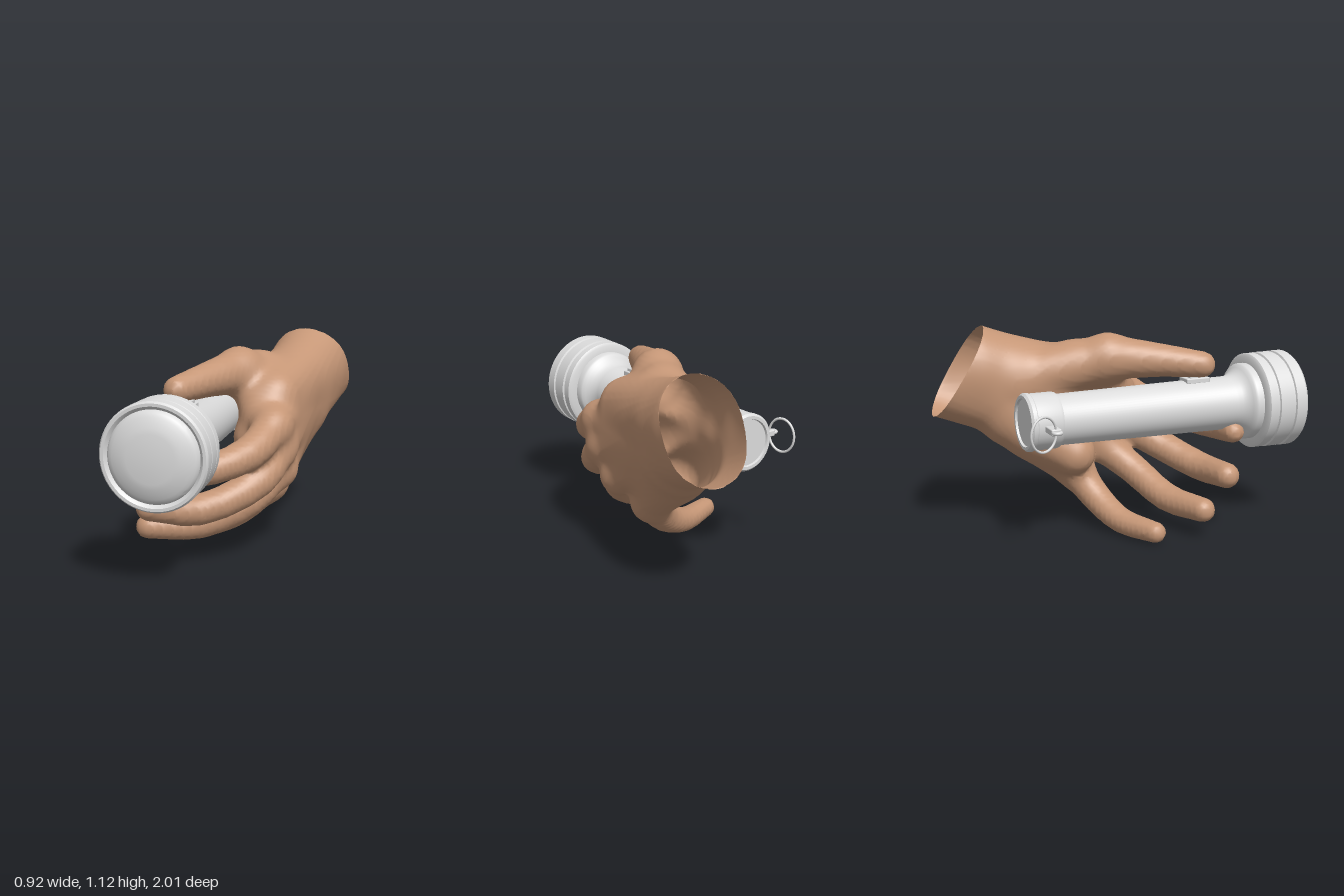
import * as THREE from 'three';
import { toCreasedNormals } from 'three/addons/utils/BufferGeometryUtils.js';
import { RoundedBoxGeometry } from 'three/addons/geometries/RoundedBoxGeometry.js';

const metal = new THREE.MeshStandardMaterial({ name: 'light grey metal', color: 0xdcdcdc });
const skin = new THREE.MeshStandardMaterial({ name: 'skin', color: 0xc69777, side: THREE.DoubleSide });

function part(name, geometry, material, x = 0, y = 0, z = 0) {
  const mesh = new THREE.Mesh(geometry, material);
  mesh.name = name;
  mesh.position.set(x, y, z);
  return mesh;
}

// Turned part around the z axis; the profile lists [radius, z] from back to front
function turned(name, profile) {
  const points = profile.map(([r, z]) => new THREE.Vector2(r, z));
  const geometry = new THREE.LatheGeometry(points, 64).rotateX(Math.PI / 2);
  return part(name, toCreasedNormals(geometry, 0.6), metal);
}

// ---- Torch: z = 0 is the front rim ----
function createTorch() {
  const torch = new THREE.Group();
  torch.name = 'torch';
  torch.add(
    turned('tailCap', [[0, -1.55], [0.122, -1.55], [0.126, -1.562], [0.142, -1.562], [0.153, -1.55],
      [0.153, -1.53], [0.149, -1.525], [0.149, -1.4], [0.144, -1.385], [0.13, -1.385]]),
    turned('barrel', [[0.133, -1.5], [0.148, -0.37], [0.155, -0.345], [0.17, -0.32], [0.19, -0.302],
      [0.205, -0.292], [0.212, -0.28], [0.212, -0.23]]),
    turned('head', [[0.19, -0.245], [0.25, -0.245], [0.265, -0.235], [0.265, -0.19], [0.257, -0.186],
      [0.257, -0.176], [0.267, -0.172], [0.267, -0.09], [0.259, -0.086], [0.259, -0.076],
      [0.269, -0.072], [0.269, -0.012], [0.26, 0], [0.245, 0], [0.236, -0.008], [0.228, -0.02]]),
    turned('lens', [[0.23, -0.02], [0.226, -0.007], [0.215, 0.004], [0.198, 0.013], [0.175, 0.022],
      [0.148, 0.031], [0.12, 0.037], [0, 0.037]]),
  );

  // Thumb switch on top of the barrel
  torch.add(
    part('switchBase', new RoundedBoxGeometry(0.1, 0.03, 0.14, 2, 0.006), metal, 0, 0.148, -0.57),
    part('switchButton', new RoundedBoxGeometry(0.075, 0.03, 0.1, 2, 0.006), metal, 0, 0.166, -0.565),
  );

  // Side lug with an eyelet
  torch.add(part('lug', new RoundedBoxGeometry(0.11, 0.033, 0.055, 2, 0.006), metal, -0.185, -0.008, -1.465));
  const eyelet = new THREE.TorusGeometry(0.02, 0.01, 10, 24).rotateX(Math.PI / 2);
  torch.add(part('eyelet', eyelet, metal, -0.243, -0.008, -1.465));

  torch.position.set(0, 0.675, 0.955);
  torch.rotation.y = 0.122;
  return torch;
}

// ---- Hand: rounded bones [x, y, z, radius] melted into one skin ----
const palmBones = [
  [[0.262, 1.07, -1.15, 0.22], [0.215, 0.845, -0.62, 0.2]],
  [[0.262, 0.95, -1.2, 0.22], [0.215, 0.72, -0.62, 0.198]],
  [[0.22, 0.83, -0.58, 0.165], [0.305, 0.69, 0.1, 0.097]],
  [[0.22, 0.74, -0.56, 0.165], [0.31, 0.56, 0.04, 0.097]],
  [[0.2, 0.67, -0.54, 0.16], [0.28, 0.42, -0.07, 0.097]],
  [[0.19, 0.62, -0.57, 0.168], [0.175, 0.3, -0.23, 0.105]],
  // heel and hollow of the palm, ball of the thumb, web, back of the hand
  [[0.13, 0.56, -0.46, 0.155], [0.04, 0.43, -0.27, 0.12]],
  [[0.15, 0.72, -0.4, 0.13], [0.17, 0.61, 0.02, 0.11]],
  [[0.16, 0.84, -0.52, 0.15], [0.05, 0.95, -0.07, 0.12]],
  [[0.14, 0.9, -0.24, 0.12], [0.24, 0.82, -0.05, 0.1]],
  [[0.1, 0.89, -0.1, 0.1], [0.2, 0.74, 0.02, 0.1]],
  [[0.23, 0.9, -0.75, 0.2], [0.265, 0.84, -0.1, 0.11]],
];
const fingerJoints = {
  thumb: [[0.05, 0.95, -0.07, 0.122], [-0.035, 0.932, 0.21, 0.09], [-0.105, 0.91, 0.42, 0.071]],
  index: [[0.305, 0.69, 0.1, 0.095], [0.25, 0.585, 0.34, 0.089], [0.05, 0.52, 0.565, 0.073], [-0.125, 0.525, 0.6, 0.062]],
  middle: [[0.31, 0.56, 0.02, 0.095], [0.275, 0.425, 0.23, 0.087], [0.03, 0.3, 0.46, 0.081], [-0.22, 0.305, 0.53, 0.07]],
  ring: [[0.28, 0.42, -0.07, 0.093], [0.175, 0.275, 0.11, 0.085], [-0.05, 0.157, 0.24, 0.078], [-0.305, 0.15, 0.36, 0.067]],
  little: [[0.175, 0.3, -0.23, 0.095], [0.04, 0.15, -0.13, 0.08], [-0.13, 0.072, -0.045, 0.069], [-0.34, 0.062, 0.078, 0.057]],
};

// Each finger bends along a smooth curve through its joints
const fingers = Object.values(fingerJoints).map((joints) => {
  const last = joints.length - 1;
  const curve = new THREE.CatmullRomCurve3(joints.map(([x, y, z]) => new THREE.Vector3(x, y, z)));
  const rings = Array.from({ length: last * 3 + 1 }, (_, i) => {
    const joint = Math.min(Math.floor(i / 3), last - 1);
    const radius = THREE.MathUtils.lerp(joints[joint][3], joints[joint + 1][3], i / 3 - joint);
    return [...curve.getPoint(i / (last * 3)).toArray(), radius];
  });
  return rings.slice(1).map((end, i) => [rings[i], end]);
});

// Distance to a bone whose radius changes from end to end
function boneDistance(x, y, z, [a, b]) {
  const dx = b[0] - a[0], dy = b[1] - a[1], dz = b[2] - a[2];
  const along = ((x - a[0]) * dx + (y - a[1]) * dy + (z - a[2]) * dz) / (dx * dx + dy * dy + dz * dz);
  const t = Math.min(1, Math.max(0, along));
  return Math.hypot(x - a[0] - dx * t, y - a[1] - dy * t, z - a[2] - dz * t) - a[3] - (b[3] - a[3]) * t;
}

function blend(a, b, k) {
  const h = Math.max(0, k - Math.abs(a - b)) / k;
  return Math.min(a, b) - h * h * k / 4;
}

function handDistance(x, y, z) {
  let d = 10;
  for (const bone of palmBones) d = blend(d, boneDistance(x, y, z, bone), 0.07);
  for (const bones of fingers) {
    let f = 10;
    for (const bone of bones) f = Math.min(f, boneDistance(x, y, z, bone));
    d = blend(d, f, 0.05);
  }
  return d;
}

// Smooth mesh of the zero level of a distance field, one vertex per crossed grid cell
function skinSurface(field, min, max, h) {
  const n = min.map((m, i) => Math.ceil((max[i] - m) / h) + 1);
  const step = [1, n[0], n[0] * n[1]];
  const values = new Float32Array(n[0] * n[1] * n[2]);
  const cell = new Int32Array(values.length).fill(-1);
  const positions = [], faces = [];
  const eachPoint = (visit) => {
    for (let k = 0, id = 0; k < n[2]; k++)
      for (let j = 0; j < n[1]; j++)
        for (let i = 0; i < n[0]; i++) visit([i, j, k], id++);
  };
  eachPoint((p, id) => { values[id] = field(...p.map((v, a) => min[a] + v * h)); });

  eachPoint((p, id) => {
    if (p.some((v, a) => v >= n[a] - 1)) return;
    const sum = [0, 0, 0];
    let count = 0;
    for (let c = 0; c < 8; c++) {
      const bits = [c & 1, (c >> 1) & 1, c >> 2];
      const from = id + bits[0] * step[0] + bits[1] * step[1] + bits[2] * step[2];
      for (let a = 0; a < 3; a++) {
        if (bits[a]) continue;
        const v0 = values[from], v1 = values[from + step[a]];
        if ((v0 < 0) === (v1 < 0)) continue;
        for (let b = 0; b < 3; b++) sum[b] += bits[b] + (a === b ? v0 / (v0 - v1) : 0);
        count++;
      }
    }
    if (!count) return;
    cell[id] = positions.length / 3;
    for (let a = 0; a < 3; a++) positions.push(min[a] + (p[a] + sum[a] / count) * h);
  });

  eachPoint((p, id) => {
    for (let a = 0; a < 3; a++) {
      if (p[a] >= n[a] - 1) continue;
      const inside = values[id] < 0;
      if (inside === values[id + step[a]] < 0) continue;
      const sb = step[(a + 1) % 3], sc = step[(a + 2) % 3];
      const q = [cell[id], cell[id - sb], cell[id - sb - sc], cell[id - sc]];
      if (!q.every((v) => v >= 0)) continue;
      if (!inside) q.reverse();
      faces.push([q[0], q[1], q[2]], [q[0], q[2], q[3]]);
    }
  });
  return { positions, faces };
}

function createHand() {
  const { positions, faces } = skinSurface(handDistance, [-0.48, -0.06, -1.15], [0.58, 1.32, 0.74], 0.02);

  // Open, slanted cut at the wrist
  const beyondCut = (i) => (positions[i * 3 + 1] - 0.885) * 0.51 - (positions[i * 3 + 2] + 0.86) * 0.86;
  const kept = faces.filter((face) => face.some((i) => beyondCut(i) < 0));
  for (let i = 0; i < positions.length / 3; i++) {
    const d = Math.max(0, beyondCut(i));
    positions[i * 3 + 1] -= d * 0.51;
    positions[i * 3 + 2] += d * 0.86;
  }

  const geometry = new THREE.BufferGeometry();
  geometry.setAttribute('position', new THREE.Float32BufferAttribute(positions, 3));
  geometry.setIndex(kept.flat());
  geometry.computeVertexNormals();
  return part('hand', geometry, skin);
}

export function createModel() {
  const model = new THREE.Group();
  model.name = 'handHoldingTorch';
  model.add(createTorch(), createHand());

  // Loose ring hanging in the eyelet
  const ring = part('keyRing', new THREE.TorusGeometry(0.09, 0.007, 10, 48), metal, -0.43, 0.665, -0.54);
  ring.rotation.y = -1.166;
  ring.scale.x = 0.85;
  model.add(ring);
  return model;
}
